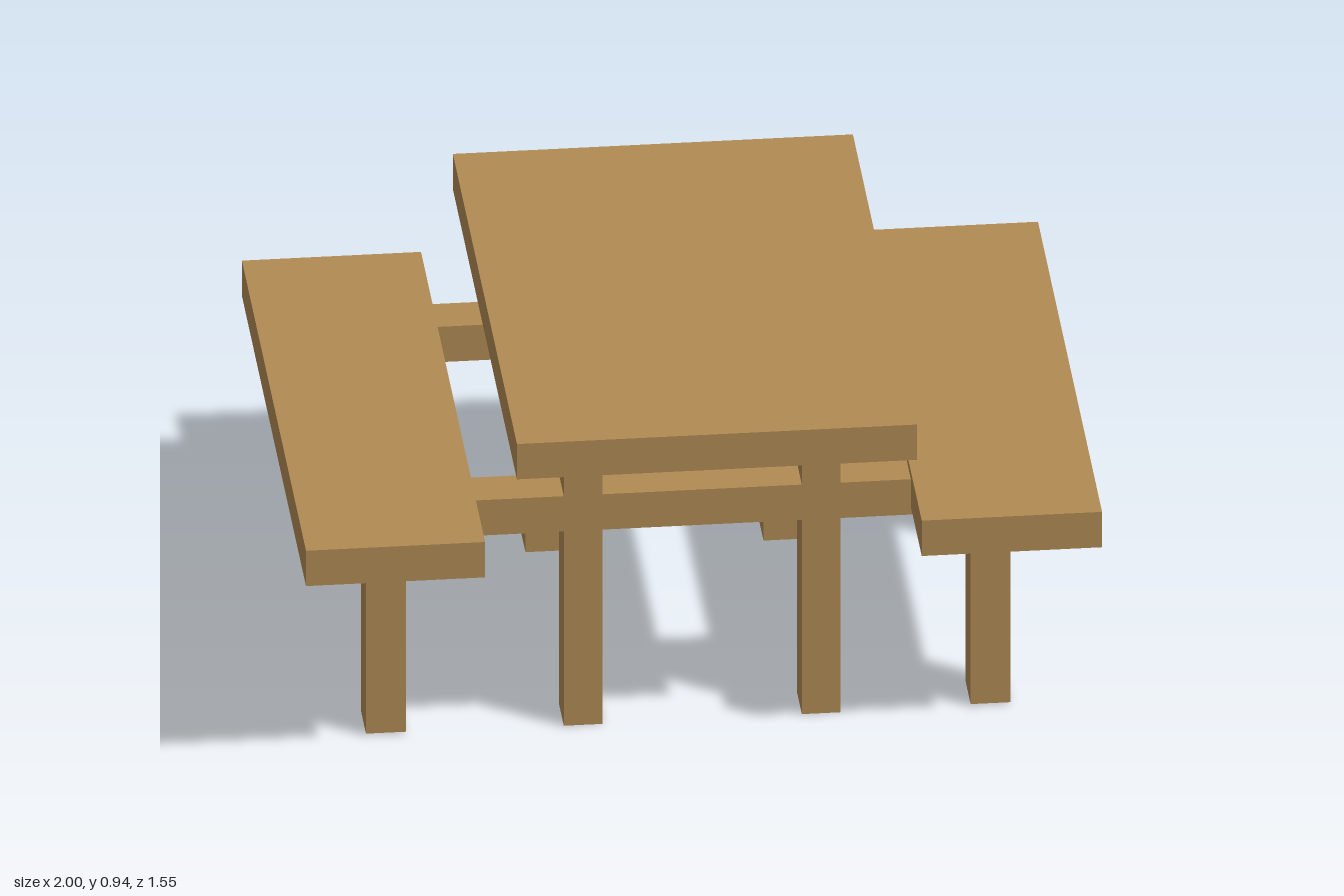
import * as THREE from 'three';

export function createModel() {
  const model = new THREE.Group();
  const wood = new THREE.MeshStandardMaterial({ color: 0xb08a53 });
  wood.name = 'wood';

  // Box given by its extents on each axis
  function block(name, [x0, x1], [y0, y1], [z0, z1]) {
    const mesh = new THREE.Mesh(new THREE.BoxGeometry(x1 - x0, y1 - y0, z1 - z0), wood);
    mesh.name = name;
    mesh.position.set((x0 + x1) / 2, (y0 + y1) / 2, (z0 + z1) / 2);
    model.add(mesh);
  }

  // Table top and the two benches
  const length = [-0.775, 0.775];
  block('tableTop', [-0.47, 0.535], [0.845, 0.945], length);
  block('rightBench', [-1, -0.55], [0.572, 0.672], length);
  block('leftBench', [0.547, 1], [0.572, 0.672], length);

  // Front and back frames: cross beam, table legs, bench legs
  const frames = [
    { end: 'front', z: [0.39, 0.512], benchZ: [0.39, 0.512] },
    { end: 'back', z: [-0.537, -0.415], benchZ: [-0.52, -0.398] },
  ];
  for (const { end, z, benchZ } of frames) {
    block(end + 'CrossBeam', [-0.832, 0.79], [0.55, 0.65], z);
    block(end + 'RightTableLeg', [-0.325, -0.228], [0, 0.845], z);
    block(end + 'LeftTableLeg', [0.273, 0.37], [0, 0.845], z);
    block(end + 'RightBenchLeg', [-0.822, -0.722], [0.005, 0.572], benchZ);
    block(end + 'LeftBenchLeg', [0.697, 0.797], [0.005, 0.572], benchZ);
  }
  return model;
}
